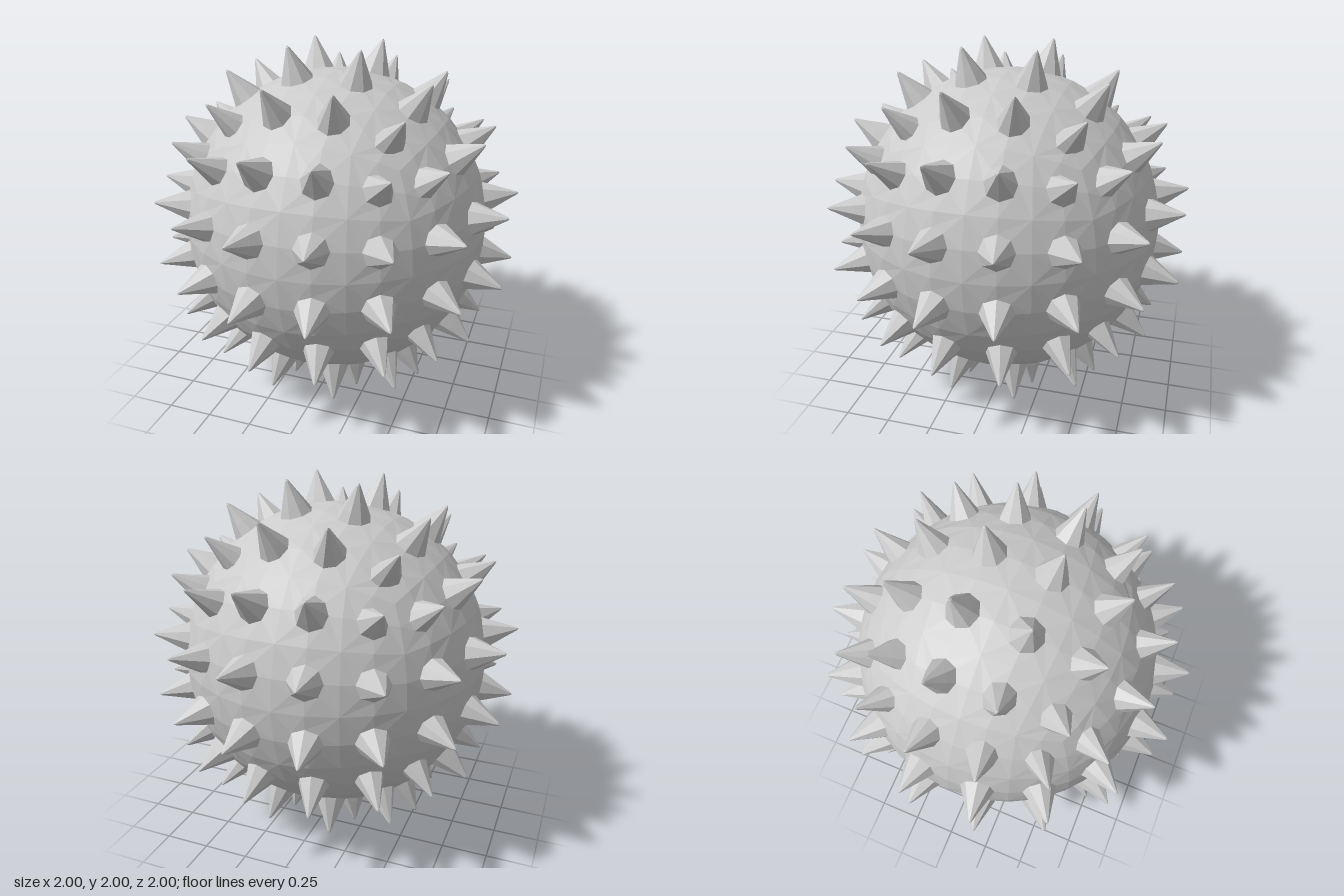
import * as THREE from 'three';

const BODY_R = 0.857, TIP_R = 1.039, CELLS = 4;

// Spike profile: [height fraction, width fraction]
const PROFILE = [[0, 1], [0.3, 0.72], [0.65, 0.38], [0.94, 0.11], [1, 0]];

// Eight steps around a cell, counter-clockwise: corners and edge midpoints
const AROUND = [[1, 1], [0, 1], [-1, 1], [-1, 0], [-1, -1], [0, -1], [1, -1], [1, 0]];

// Direction on the sphere for a point (s, t) in -1..1 on one side of a rounded cube
function direction(axis, sign, s, t) {
  const a = Math.tan(s * Math.PI / 4), b = Math.tan(t * Math.PI / 4);
  const c = 0.2; // draws the cells slightly towards the cube corners
  const v = new THREE.Vector3();
  v.setComponent(axis, sign);
  v.setComponent((axis + 1) % 3, sign * a * (1 + c * b * b * (1 - a * a)));
  v.setComponent((axis + 2) % 3, b * (1 + c * a * a * (1 - b * b)));
  return v.normalize();
}

// Join two rings of eight points with quads
function bridge(out, lower, upper) {
  for (let k = 0; k < 8; k++) {
    const n = (k + 1) % 8;
    out.push(lower[k], lower[n], upper[n], lower[k], upper[n], upper[k]);
  }
}

function facetedMesh(name, points) {
  const geometry = new THREE.BufferGeometry().setFromPoints(points);
  geometry.computeVertexNormals();
  const material = new THREE.MeshStandardMaterial({ color: 0xcccccc, flatShading: true });
  const mesh = new THREE.Mesh(geometry, material);
  mesh.name = name;
  return mesh;
}

export function createModel() {
  const body = [], spikes = [];
  const half = 1 / CELLS;

  for (let axis = 0; axis < 3; axis++) for (const sign of [1, -1])
    for (let i = 0; i < CELLS; i++) for (let j = 0; j < CELLS; j++) {
      const s = -1 + (2 * i + 1) * half, t = -1 + (2 * j + 1) * half;
      const centre = direction(axis, sign, s, t);

      // Cell border, shared with the neighbouring cells
      const border = AROUND.map(([p, q]) =>
        direction(axis, sign, s + p * half, t + q * half).multiplyScalar(BODY_R));

      // Octagonal foot of the spike, in the plane square to its axis
      const foot = border.map((p, k) => {
        const offset = p.clone().addScaledVector(centre, -p.dot(centre));
        return offset.multiplyScalar(k % 2 ? 0.55 : 0.4);
      });
      const ring = ([h, w]) => foot.map(f => f.clone().multiplyScalar(w)
        .addScaledVector(centre, THREE.MathUtils.lerp(BODY_R - 0.008, TIP_R, h)));
      const rings = PROFILE.map(ring);

      // Skin around the spike
      bridge(body, border, rings[0]);

      // Tapering spike closed by a blunt tip
      for (let r = 0; r < rings.length - 2; r++) bridge(spikes, rings[r], rings[r + 1]);
      const rim = rings[rings.length - 2], tip = rings[rings.length - 1][0];
      for (let k = 0; k < 8; k++) spikes.push(rim[k], rim[(k + 1) % 8], tip);
    }

  const group = new THREE.Group();
  group.name = 'spikedBall';
  group.add(facetedMesh('body', body), facetedMesh('spikes', spikes));
  group.position.y = 1;
  return group;
}
